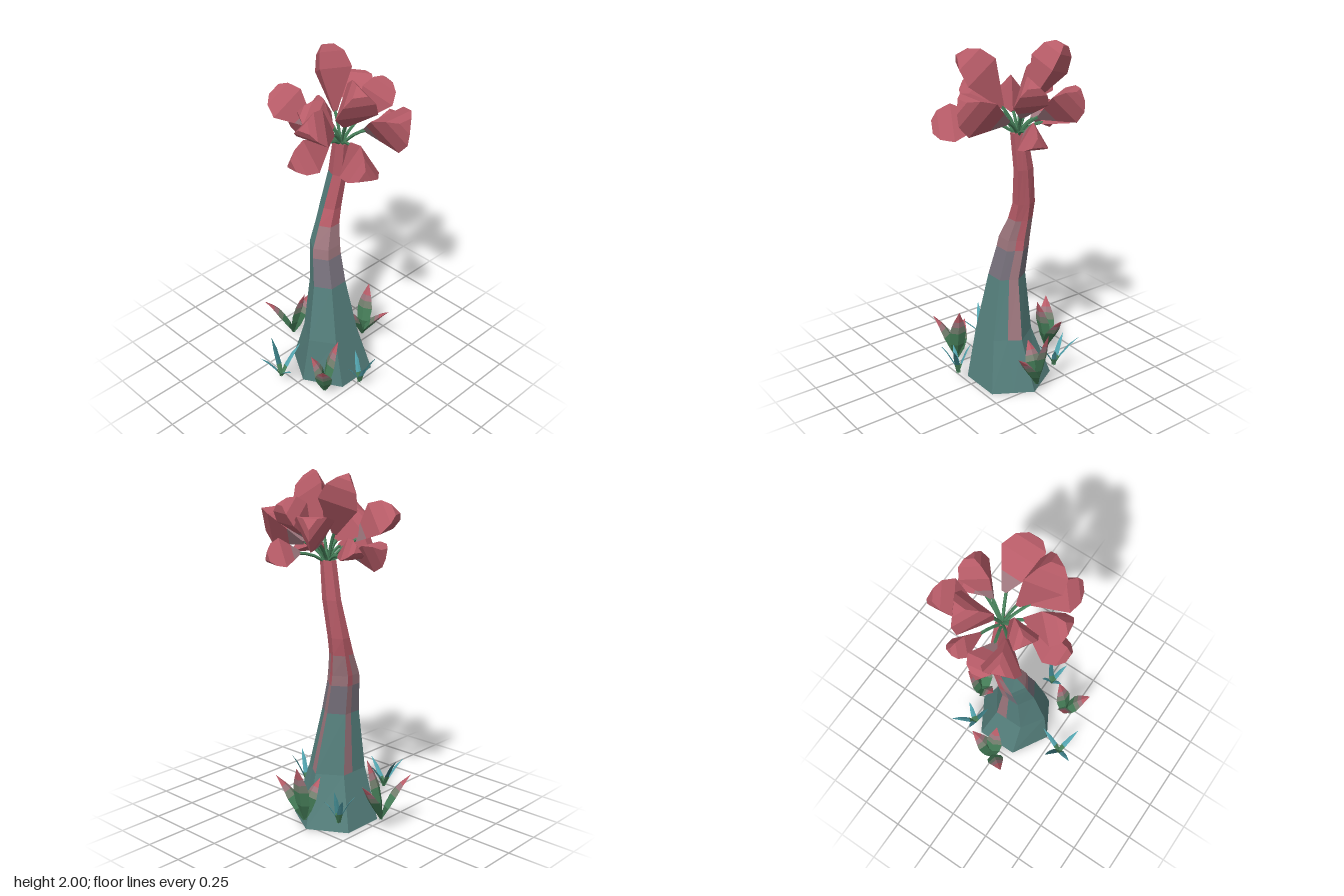
import * as THREE from 'three';

const V = (x, y, z) => new THREE.Vector3(x, y, z);
const paint = (name, color) => Object.assign(new THREE.MeshStandardMaterial({ color }), { name });

// A ring of n points around a centre, counter-clockwise about the axis
function ring(centre, axis, side, a, b, n, spin = 0) {
  const w = axis.clone().normalize();
  const u = side.clone().addScaledVector(w, -side.dot(w)).normalize();
  const v = w.clone().cross(u);
  return Array.from({ length: n }, (_, j) => {
    const t = spin + (j / n) * Math.PI * 2;
    return centre.clone().addScaledVector(u, a * Math.cos(t)).addScaledVector(v, b * Math.sin(t));
  });
}

// Faceted skin through rings; pick(i, j) gives the material of each facet
function loft(name, rings, pick, openFoot = false) {
  const byMat = new Map();
  const tri = (m, ...pts) => {
    if (!byMat.has(m)) byMat.set(m, []);
    for (const p of pts) byMat.get(m).push(p.x, p.y, p.z);
  };
  const n = rings[0].length, last = rings.length - 1;
  const middle = r => r.reduce((s, p) => s.add(p), V(0, 0, 0)).divideScalar(n);
  const c0 = middle(rings[0]), c1 = middle(rings[last]);
  for (let j = 0; j < n; j++) {
    const k = (j + 1) % n;
    for (let i = 0; i < last; i++) {
      const a = rings[i][j], b = rings[i][k], c = rings[i + 1][k], d = rings[i + 1][j];
      tri(pick(i, j), a, b, c);
      tri(pick(i, j), a, c, d);
    }
    if (!openFoot) tri(pick(0, 0), c0, rings[0][k], rings[0][j]);
    tri(pick(last - 1, 0), c1, rings[last][j], rings[last][k]);
  }
  const geo = new THREE.BufferGeometry(), pos = [], mats = [];
  for (const [m, list] of byMat) {
    geo.addGroup(pos.length / 3, list.length / 3, mats.length);
    mats.push(m);
    for (const x of list) pos.push(x);
  }
  geo.setAttribute('position', new THREE.Float32BufferAttribute(pos, 3));
  geo.computeVertexNormals();
  const mesh = new THREE.Mesh(geo, mats);
  mesh.name = name;
  return mesh;
}

export function createModel() {
  const teal = paint('teal bark', 0x557f7c);
  teal.side = THREE.DoubleSide; // the trunk is open underneath
  const grey = paint('grey bark', 0x77717c);
  const rose = paint('dusty rose', 0x9c757c);
  const red = paint('petal red', 0xb85c68);
  const green = paint('leaf green', 0x47805a);
  const dark = paint('dark leaf green', 0x3a6c4b);
  const faded = paint('faded leaf', 0x74806f);
  const cyan = paint('grass cyan', 0x53a4af);
  const deep = paint('deep grass teal', 0x37757b);

  const root = new THREE.Group();
  root.name = 'floweringTree';

  // Trunk: six-sided, flared at the foot; rows are y, xMin, xMax, zMin, zMax
  const rows = [
    [0, -0.21, 0.285, -0.21, 0.215],
    [0.3, -0.172, 0.185, -0.115, 0.155],
    [0.65, -0.105, 0.115, -0.095, 0.085],
    [0.82, -0.08, 0.115, -0.115, 0.04],
    [0.88, -0.07, 0.115, -0.12, 0.03],
    [1.0, -0.01, 0.125, -0.12, 0.0],
    [1.1, 0.03, 0.137, -0.12, -0.005],
    [1.31, 0.073, 0.15, -0.09, 0.015],
    [1.52, 0.068, 0.143, -0.05, 0.035],
  ];
  // Two sides are split lengthwise to carry the narrow pink stripes
  const trunkRings = rows.map(([y, x0, x1, z0, z1]) => {
    const h = ring(V((x0 + x1) / 2, y, (z0 + z1) / 2), V(0, 1, 0), V(1, 0, 0), (x1 - x0) / 2, (z1 - z0) / 1.732, 6);
    return [h[0], h[1], h[1].clone().lerp(h[2], 0.4), h[2], h[3], h[4], h[5], h[5].clone().lerp(h[0], 0.5)];
  });
  const bands = [teal, teal, grey, rose, rose, red, red, red];
  const stripe = [teal, rose, rose, red, red, red, red, red];
  const mossy = [teal, teal, teal, teal, teal, teal, teal, red];
  const sides = [bands, stripe, bands, mossy, bands, bands, bands, stripe];
  root.add(loft('trunk', trunkRings, (i, j) => sides[j][i], true));

  // Three-petalled buds: base, tip, radius, turn about the axis, dusty base or not
  const ridge = -Math.PI / 2, flat = Math.PI / 2;
  const buds = [
    [[0.06, 1.66, 0.07], [-0.04, 1.95, 0.26], 0.13, ridge],
    [[0.12, 1.67, -0.07], [0.2, 1.98, -0.22], 0.125, flat + 0.4],
    [[0.22, 1.62, -0.05], [0.41, 1.77, -0.17], 0.12, flat, true],
    [[0.19, 1.63, 0.04], [0.35, 1.84, 0.09], 0.11, ridge, true],
    [[0.25, 1.57, 0.06], [0.43, 1.56, 0.12], 0.095, ridge, true],
    [[0.17, 1.61, 0.11], [0.165, 1.75, 0.4], 0.14, flat, true],
    [[0.03, 1.59, 0.14], [-0.12, 1.56, 0.39], 0.12, ridge],
    [[-0.02, 1.58, 0.03], [-0.285, 1.54, 0.03], 0.11, ridge],
    [[0.0, 1.62, 0.04], [-0.235, 1.76, 0.08], 0.115, ridge],
    [[-0.01, 1.62, -0.1], [-0.09, 1.79, -0.31], 0.12, ridge, true],
    [[0.06, 1.56, -0.13], [0.03, 1.59, -0.34], 0.1, flat, true],
    [[0.15, 1.56, -0.12], [0.21, 1.62, -0.31], 0.075, ridge],
    [[0.05, 1.62, -0.01], [-0.1, 1.74, -0.1], 0.105, ridge],
  ];
  const budProfile = [[0, 0.12], [0.28, 0.51], [0.63, 1], [0.88, 0.76], [1, 0.35]];
  const crown = new THREE.Group();
  crown.name = 'crown';
  buds.forEach(([b, t, r, spin, pale]) => {
    const base = V(...b), tip = V(...t), axis = tip.clone().sub(base);
    const side = V(-axis.z, 0, axis.x);
    const rings = budProfile.map(([s, f]) =>
      ring(base.clone().addScaledVector(axis, s), axis, side, r * f, r * f, 3, spin));
    crown.add(loft('bud', rings, i => (pale && i === 0 ? rose : red)));
    // Stem bending out of the trunk top
    const start = V(0.105, 1.49, -0.005);
    const bend = V((b[0] + 0.21) / 3, (b[1] + 1.55) / 2, b[2] / 3);
    const end = base.clone().addScaledVector(axis, 0.08);
    const tube = new THREE.TubeGeometry(new THREE.QuadraticBezierCurve3(start, bend, end), 4, 0.009, 5).toNonIndexed();
    tube.computeVertexNormals();
    const stem = new THREE.Mesh(tube, green);
    stem.name = 'stem';
    crown.add(stem);
  });
  root.add(crown);

  // Curved blade from base to tip; profile rows are position along it and width factor
  function blade(name, base, tip, width, thick, profile, mats) {
    const d = tip.clone().sub(base);
    const bend = base.clone().add(V(d.x * 0.35, d.y * 0.6, d.z * 0.35));
    const curve = new THREE.QuadraticBezierCurve3(base, bend, tip);
    const rings = profile.map(([s, f]) =>
      ring(curve.getPoint(s), curve.getTangent(s), V(-d.z, 0, d.x), width * f, thick * f, 4));
    return loft(name, rings, i => mats[i]);
  }

  // Broad-leaved plants with red tips: base, then leaf tips
  const leafProfile = [[0, 0.25], [0.25, 0.85], [0.5, 1], [0.64, 0.8], [0.76, 0.57], [1, 0.03]];
  const plants = [
    [[-0.22, 0.06, 0.2], [-0.33, 0.32, 0.29], [-0.14, 0.4, 0.23], [-0.25, 0.28, 0.12]],
    [[0.3, 0.065, 0], [0.35, 0.3, 0.17], [0.375, 0.4, -0.02], [0.19, 0.29, -0.02]],
    [[0.0, 0.065, -0.31], [-0.135, 0.32, -0.41], [0.02, 0.4, -0.22], [0.15, 0.3, -0.3]],
  ];
  for (const [base, ...tips] of plants) {
    const plant = new THREE.Group();
    plant.name = 'leafyPlant';
    tips.forEach((t, k) => {
      const body = k === 2 ? dark : green;
      plant.add(blade('leaf', V(...base), V(...t), 0.05, 0.02, leafProfile, [dark, body, faded, rose, red]));
    });
    root.add(plant);
  }

  // Grass tufts: base, then blade tips
  const grassProfile = [[0, 0.7], [0.3, 1], [0.7, 0.75], [1, 0.04]];
  const tufts = [
    [[-0.335, 0.08, -0.05], [-0.44, 0.24, -0.11], [-0.3, 0.28, -0.17], [-0.38, 0.22, 0.09], [-0.2, 0.26, -0.03]],
    [[-0.04, 0.08, 0.31], [-0.12, 0.22, 0.29], [0.02, 0.27, 0.38], [-0.01, 0.26, 0.24], [-0.09, 0.27, 0.4]],
    [[0.22, 0.08, -0.19], [0.31, 0.27, -0.3], [0.17, 0.22, -0.11], [0.29, 0.22, -0.14], [0.19, 0.25, -0.28]],
  ];
  for (const [base, ...tips] of tufts) {
    const tuft = new THREE.Group();
    tuft.name = 'grassTuft';
    tips.forEach((t, k) => {
      const top = k === 1 ? deep : cyan;
      tuft.add(blade('grassBlade', V(...base), V(...t), 0.016, 0.003, grassProfile, [green, top, top]));
    });
    root.add(tuft);
  }

  return root;
}
